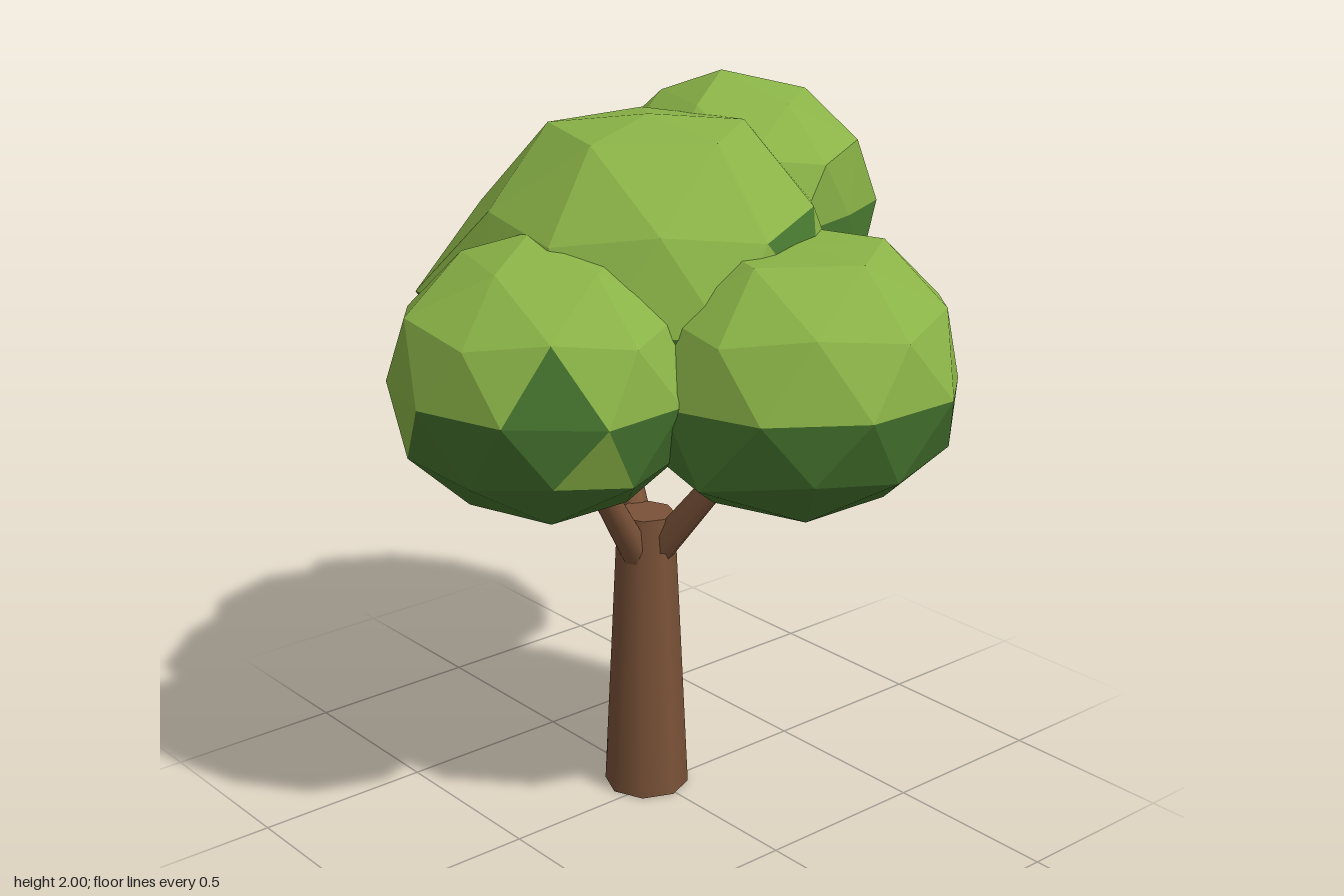
import * as THREE from 'three';

const material = (name, color) => Object.assign(new THREE.MeshStandardMaterial({ color }), { name });

// Item of a list that lies closest to a point
const nearest = (list, point, position) => list.reduce((best, item) =>
  (position(item).distanceTo(point) < position(best).distanceTo(point) ? item : best));

// Faceted leaf clump: an icosphere standing on a corner, light above and dark below.
// crown: height of the ring below the top; pulls: places to which the closest corner moves;
// flips: places whose face swaps colour
function leafClump({ name, centre, radii, crown, pulls, flips }, mats) {
  const geo = new THREE.IcosahedronGeometry(1, 1);
  geo.rotateZ(-Math.atan(2 / (1 + Math.sqrt(5))));
  const p = geo.attributes.position;
  for (let i = 0; i < p.count; i++) {
    if (p.getY(i) > 0.8 && p.getY(i) < 0.9) p.setY(i, crown);
  }
  geo.scale(...radii).translate(...centre);

  // Share corners between faces
  const shared = [], faces = [];
  for (let i = 0; i < p.count; i++) {
    const v = new THREE.Vector3().fromBufferAttribute(p, i);
    let corner = shared.find((s) => s.distanceTo(v) < 1e-3);
    if (!corner) shared.push(corner = v);
    if (i % 3 === 0) faces.push({ corners: [] });
    faces.at(-1).corners.push(corner);
  }
  const middle = (f) => f.corners.reduce((sum, c) => sum.add(c), new THREE.Vector3()).divideScalar(3);

  // Colour the faces, then pull the corners
  for (const f of faces) f.light = middle(f).y > centre[1];
  for (const point of flips) {
    const f = nearest(faces, new THREE.Vector3(...point), middle);
    f.light = !f.light;
  }
  for (const point of pulls) {
    const target = new THREE.Vector3(...point);
    nearest(shared, target, (c) => c).copy(target);
  }

  const light = faces.filter((f) => f.light), dark = faces.filter((f) => !f.light);
  const out = new THREE.BufferGeometry().setFromPoints([...light, ...dark].flatMap((f) => f.corners));
  out.addGroup(0, light.length * 3, 0);
  out.addGroup(light.length * 3, dark.length * 3, 1);
  out.computeVertexNormals();
  const mesh = new THREE.Mesh(out, mats);
  mesh.name = name;
  return mesh;
}

// Tapered limb between two points
function limb(name, from, to, r0, r1, mat) {
  const a = new THREE.Vector3(...from), b = new THREE.Vector3(...to);
  const dir = b.clone().sub(a);
  const mesh = new THREE.Mesh(new THREE.CylinderGeometry(r1, r0, dir.length(), 8), mat);
  mesh.position.copy(a).add(b).multiplyScalar(0.5);
  mesh.quaternion.setFromUnitVectors(new THREE.Vector3(0, 1, 0), dir.normalize());
  mesh.name = name;
  return mesh;
}

const CLUMPS = [
  {
    name: 'middleLeaves', centre: [-0.04, 1.48, 0], radii: [0.52, 0.465, 0.52], crown: 0.925,
    pulls: [[-0.4, 1.48, 0.505], [-0.53, 1.48, 0.2], [-0.33, 1.04, 0]],
    flips: [[0.4, 1.63, -0.17]],
  },
  {
    name: 'frontLeaves', centre: [0.05, 1.33, 0.42], radii: [0.42, 0.37, 0.395], crown: 0.87,
    pulls: [[0, 1.705, 0.42], [-0.04, 1.54, 0.78], [-0.05, 1.17, 0.78], [0.45, 1.32, 0.53]],
    flips: [[0.38, 1.4, 0.63], [-0.05, 1.27, 0.78], [0.4, 1.25, 0.58]],
  },
  {
    name: 'leftLeaves', centre: [0.41, 1.32, -0.13], radii: [0.435, 0.38, 0.455], crown: 0.88,
    pulls: [[0.4, 1.66, -0.13], [0.7, 1.32, -0.42], [0.5, 1.12, 0.29], [0.37, 0.935, -0.12]],
    flips: [],
  },
  {
    name: 'rightLeaves', centre: [-0.43, 1.34, -0.13], radii: [0.415, 0.36, 0.44], crown: 0.93,
    pulls: [[-0.5, 1.705, -0.14], [-0.69, 1, -0.13], [-0.43, 1, -0.13], [-0.76, 1.34, -0.41], [-0.77, 1.2, 0.1]],
    flips: [[-0.63, 1.48, 0.13], [-0.55, 1.41, 0.2], [-0.5, 1.25, 0.24], [-0.55, 1.42, -0.5], [-0.72, 1.25, -0.4]],
  },
  {
    name: 'backLeaves', centre: [-0.16, 1.625, -0.415], radii: [0.405, 0.37, 0.4], crown: 0.83,
    pulls: [[-0.17, 2, -0.37], [0.16, 1.625, -0.55], [-0.46, 1.625, -0.1], [-0.55, 1.82, -0.4]],
    flips: [],
  },
];

export function createModel() {
  const tree = new THREE.Group();
  tree.name = 'tree';
  const bark = material('bark brown', 0x7a5238);
  const leaves = [material('light leaf green', 0x8ab347), material('dark leaf green', 0x47762f)];

  // Trunk and branches
  tree.add(
    limb('trunk', [-0.04, 0, 0.01], [-0.04, 0.835, 0.01], 0.12, 0.08, bark),
    limb('leftBranch', [-0.01, 0.72, 0], [0.27, 1.1, -0.1], 0.045, 0.03, bark),
    limb('rightBranch', [-0.07, 0.72, 0], [-0.33, 1.1, -0.1], 0.045, 0.03, bark),
    limb('frontBranch', [-0.03, 0.72, 0.05], [0.02, 1.1, 0.29], 0.045, 0.03, bark),
  );

  // Crown
  for (const clump of CLUMPS) tree.add(leafClump(clump, leaves));

  return tree;
}
